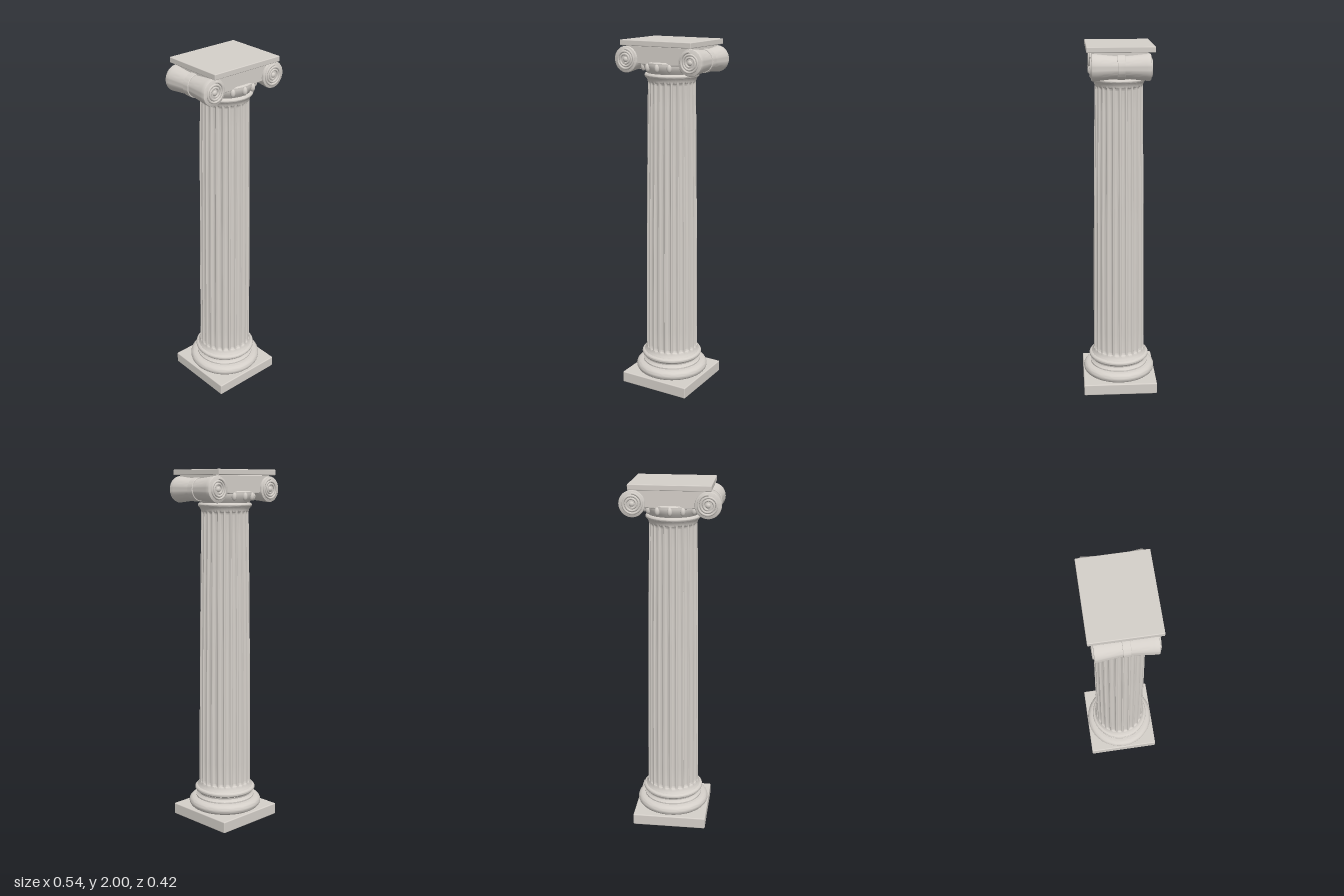
import * as THREE from 'three';
import { toCreasedNormals } from 'three/addons/utils/BufferGeometryUtils.js';
import { RoundedBoxGeometry } from 'three/addons/geometries/RoundedBoxGeometry.js';

const stone = new THREE.MeshStandardMaterial({ color: 0xd4cfc9 });
stone.name = 'pale stone';

const FLUTES = 24, STEPS = 10;

function add(parent, name, geometry, x = 0, y = 0, z = 0) {
  const mesh = new THREE.Mesh(geometry, stone);
  mesh.name = name;
  mesh.position.set(x, y, z);
  parent.add(mesh);
  return mesh;
}

// Half-round moulding: profile points bulging outwards, listed upwards
function bulge(r, y, depth, half, n = 14) {
  return Array.from({ length: n + 1 }, (_, i) => {
    const a = -Math.PI / 2 + (Math.PI * i) / n;
    return [r + depth * Math.cos(a), y + half * Math.sin(a)];
  });
}

function turned(points, segments = 72) {
  const lathe = new THREE.LatheGeometry(points.map(([r, y]) => new THREE.Vector2(r, y)), segments);
  return toCreasedNormals(lathe, 0.6);
}

// Shaft radius: gentle swelling taper, flaring out at both ends
function shaftRadius(y) {
  const t = (y - 0.19) / 1.61;
  const flare = 0.012 * Math.max(0, 1 - (y - 0.19) / 0.03) ** 2 + 0.012 * Math.max(0, 1 - (1.8 - y) / 0.03) ** 2;
  return 0.149 - 0.008 * t - 0.01 * t * t + flare;
}

function flutedShaft() {
  const low = 0.215, high = 1.775, cap = 0.022;
  const ys = [0.19, 0.197, 0.205];
  for (let i = 0; i <= 6; i++) ys.push(low + cap * (1 - Math.cos((i / 6) * Math.PI / 2)));
  for (let i = 1; i < 14; i++) ys.push(low + cap + ((high - low - 2 * cap) * i) / 14);
  for (let i = 0; i <= 6; i++) ys.push(high - cap * (1 - Math.sin((i / 6) * Math.PI / 2)));
  ys.push(1.785, 1.793, 1.8);
  ys.sort((a, b) => a - b);
  const geo = new THREE.LatheGeometry(ys.map(y => new THREE.Vector2(shaftRadius(y), y)), FLUTES * STEPS);
  const p = geo.attributes.position;
  for (let i = 0; i < p.count; i++) {
    const column = Math.floor(i / ys.length) % STEPS;
    const u = (column - STEPS / 2) / (STEPS / 2 - 1); // -1..1 across the hollow
    const y = p.getY(i);
    const end = Math.min(1, Math.max(0, Math.min(y - low, high - y) / cap));
    const reach = Math.sqrt(Math.max(0, 1 - (1 - end) ** 2));
    const depth = 0.011 * reach * Math.sqrt(Math.max(0, 1 - u * u));
    const r = shaftRadius(y), k = (r - depth) / r;
    p.setXYZ(i, p.getX(i) * k, y, p.getZ(i) * k);
  }
  return toCreasedNormals(geo, 0.65);
}

// Scroll roll with a waist, lying along z
function bolster() {
  const end = [[0, -0.155], [0.065, -0.155], [0.069, -0.153], [0.071, -0.148]];
  const mid = [];
  for (let i = -8; i <= 8; i++) {
    const z = (i / 8) * 0.145;
    mid.push([0.057 + 0.014 * Math.abs(i / 8) ** 1.15, z]);
  }
  const top = end.map(([r, z]) => [r, -z]).reverse();
  return turned([...end, ...mid, ...top], 48).rotateX(Math.PI / 2);
}

// Flat spiral winding inwards, raised from the scroll face
function spiral(side) {
  const pts = [];
  for (let i = 0; i <= 60; i++) {
    const t = i / 60, a = Math.PI / 2 - side * t * Math.PI * 5, r = 0.056 - 0.035 * t;
    pts.push(new THREE.Vector3(side * -r * Math.cos(a) * side, r * Math.sin(a), 0));
  }
  return new THREE.TubeGeometry(new THREE.CatmullRomCurve3(pts), 120, 0.0062, 8);
}

function channelBlock() {
  // Sagging lower edge between the scrolls
  const s = new THREE.Shape();
  s.moveTo(-0.2, 1.966);
  s.lineTo(-0.2, 1.885);
  s.quadraticCurveTo(0, 1.862, 0.2, 1.885);
  s.lineTo(0.2, 1.966);
  s.closePath();
  const geo = new THREE.ExtrudeGeometry(s, {
    depth: 0.276, bevelThickness: 0.005, bevelSize: 0.005, bevelSegments: 3, curveSegments: 20,
  });
  return geo.translate(0, 0, -0.138);
}

export function createModel() {
  const column = new THREE.Group();
  column.name = 'column';

  // Base
  const base = new THREE.Group();
  base.name = 'base';
  column.add(base);
  add(base, 'plinth', new RoundedBoxGeometry(0.424, 0.066, 0.424, 3, 0.006), 0, 0.033, 0);
  add(base, 'baseMouldings', turned([
    [0, 0.064], ...bulge(0.178, 0.094, 0.031, 0.029),
    [0.168, 0.124], [0.168, 0.132],
    [0.158, 0.138], [0.154, 0.146], [0.156, 0.154], [0.162, 0.159],
    ...bulge(0.16, 0.174, 0.015, 0.014), [0.158, 0.192], [0, 0.192],
  ]));

  // Shaft
  add(column, 'flutedShaft', flutedShaft());

  // Capital
  const capital = new THREE.Group();
  capital.name = 'capital';
  column.add(capital);
  add(capital, 'neckRing', turned([[0, 1.797], ...bulge(0.137, 1.81, 0.013, 0.012), [0, 1.823]]));
  add(capital, 'echinus', turned([
    [0, 1.82], [0.134, 1.82], [0.139, 1.828], [0.148, 1.84], [0.155, 1.855],
    [0.158, 1.87], [0.157, 1.88], [0.15, 1.886], [0, 1.886],
  ]));

  // Egg ornaments around the echinus
  const eggs = new THREE.Group();
  eggs.name = 'eggs';
  capital.add(eggs);
  for (let i = 0; i < 14; i++) {
    const a = (i / 14) * Math.PI * 2;
    const egg = add(eggs, 'egg', new THREE.SphereGeometry(1, 16, 12), Math.sin(a) * 0.155, 1.856, Math.cos(a) * 0.155);
    egg.scale.set(0.014, 0.023, 0.015);
    egg.rotation.y = a;
  }

  add(capital, 'channelBlock', channelBlock());

  // Scrolls on both sides
  for (const side of [-1, 1]) {
    const scroll = new THREE.Group();
    scroll.name = side > 0 ? 'leftScroll' : 'rightScroll';
    scroll.position.set(side * 0.2, 1.894, 0);
    capital.add(scroll);
    add(scroll, 'bolster', bolster());
    add(scroll, 'bolsterBand', turned([
      [0.05, -0.02], [0.062, -0.02], [0.064, -0.018], [0.064, 0.018], [0.062, 0.02], [0.05, 0.02],
    ], 48).rotateX(Math.PI / 2));
    for (const face of [-1, 1]) {
      add(scroll, 'spiral', spiral(side), 0, 0, face * 0.1565);
      const eye = add(scroll, 'eye', new THREE.SphereGeometry(0.014, 20, 12), 0, 0, face * 0.154);
      eye.scale.z = 0.7;
    }
  }

  add(capital, 'abacus', new RoundedBoxGeometry(0.438, 0.03, 0.36, 3, 0.004), 0, 1.985, 0);
  return column;
}
